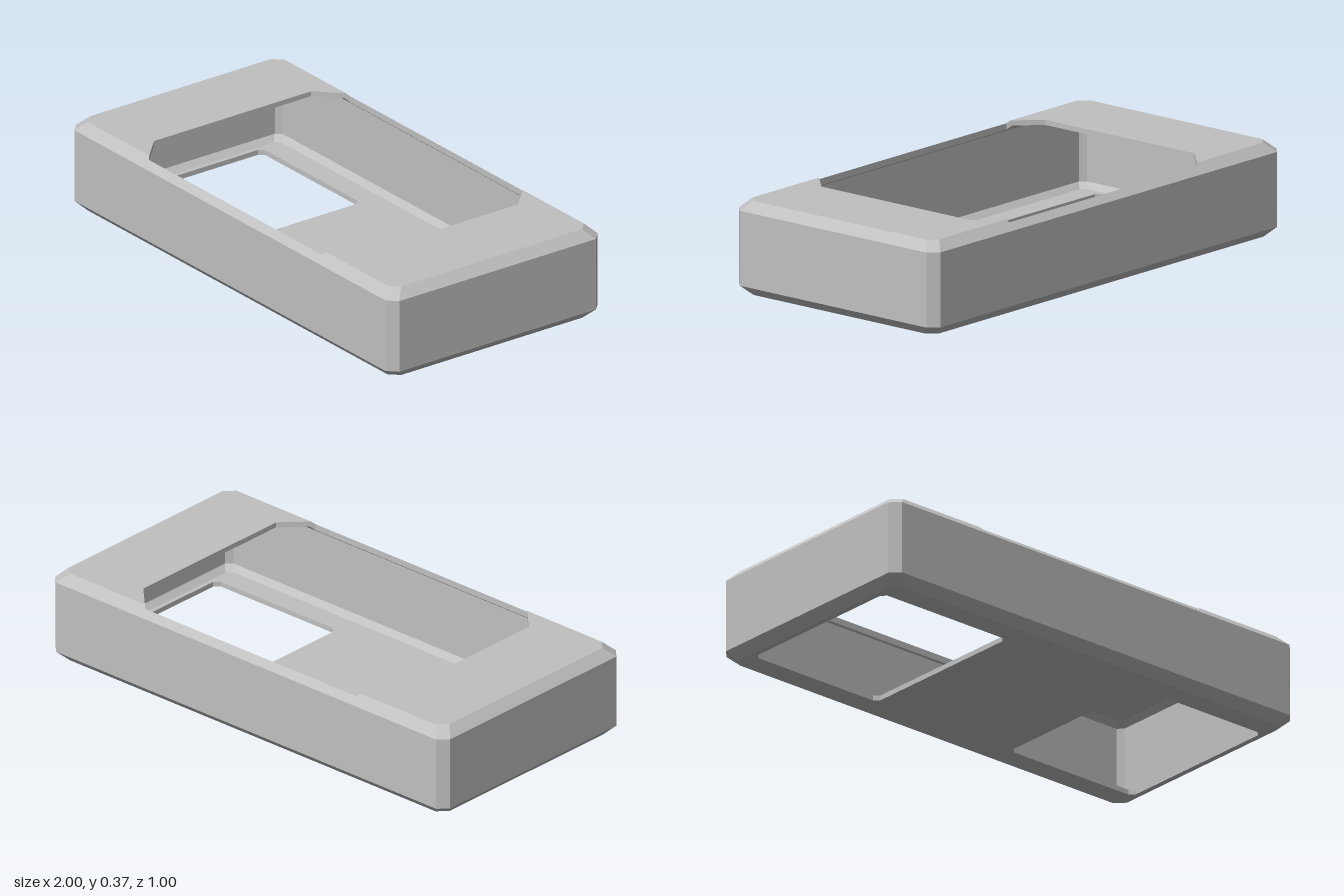
import * as THREE from 'three';
import { mergeGeometries } from 'three/addons/utils/BufferGeometryUtils.js';

// Opening in the lid: half sizes and corner cut
const OPEN_X = 0.64, OPEN_Z = 0.474, OPEN_CUT = 0.104;
const OPEN_IN = OPEN_Z - OPEN_CUT;

// Flat sheet outlined in plan (x, z), lifted by a height rule
function plate(points, height, up, holes = []) {
  const toV = (p) => p.map(([x, z]) => new THREE.Vector2(x, z));
  const shape = new THREE.Shape(toV(points));
  holes.forEach((h) => shape.holes.push(new THREE.Path(toV(h))));
  let g = new THREE.ShapeGeometry(shape);
  const pos = g.attributes.position;
  for (let i = 0; i < pos.count; i++) {
    const x = pos.getX(i), z = pos.getY(i);
    pos.setXYZ(i, x, height(x, z), z);
  }
  if (up) g.setIndex(Array.from(g.index.array).reverse());
  g = g.toNonIndexed();
  g.deleteAttribute('uv');
  g.computeVertexNormals();
  return g;
}

// Four-sided strips between two loops of 3D points
function band(lower, upper, flip, keep = () => true) {
  const out = [];
  const n = lower.length;
  for (let i = 0; i < n; i++) {
    if (!keep(i)) continue;
    const j = (i + 1) % n;
    const tri = [lower[i], upper[i], upper[j], lower[i], upper[j], lower[j]];
    if (flip) tri.reverse();
    out.push(...tri.flat());
  }
  const g = new THREE.BufferGeometry();
  g.setAttribute('position', new THREE.Float32BufferAttribute(out, 3));
  g.computeVertexNormals();
  return g;
}

// Rectangle with cut corners; edges 0 and 4 lie along +z and -z
function octagon(hx, hz, c, cx = 0) {
  return [[-hx + c, hz], [hx - c, hz], [hx, hz - c], [hx, -hz + c],
    [hx - c, -hz], [-hx + c, -hz], [-hx, -hz + c], [-hx, hz - c]].map(([x, z]) => [x + cx, z]);
}
const at = (pts, y) => pts.map(([x, z]) => [x, y, z]);

// One chamfered skin, used for the outside and again for the cavity
function skin({ hx, hz, y0, y1, c }, inside, holes) {
  const wide = octagon(hx, hz, c), narrow = octagon(hx - c, hz - c, c);
  const top = (x, z) => y1 - Math.max(0, Math.abs(z) - (hz - c));
  const walls = [
    band(at(narrow, y0), at(wide, y0 + c), !inside),
    band(at(wide, y0 + c), at(wide, y1 - c), !inside),
    band(at(wide, y1 - c), at(narrow, y1), !inside, (i) => i !== 0 && i !== 4),
  ];
  const floor = plate(narrow, () => y0, inside, holes);
  const tx = hx - c, tz = hz - c;
  const bx = OPEN_X - (tz - OPEN_IN), ox = OPEN_X - OPEN_CUT;
  const lid = [];
  for (const s of [-1, 1]) {
    // end panel beside the opening
    lid.push(plate([[OPEN_X, OPEN_IN], [bx, tz], [tx - c, tz], [tx, tz - c],
      [tx, -tz + c], [tx - c, -tz], [bx, -tz], [OPEN_X, -OPEN_IN]]
      .map(([x, z]) => [s * x, z]), top, !inside));
    // long chamfer, notched by the opening
    lid.push(plate([[-tx, hz], [tx, hz], [tx - c, tz], [bx, tz], [ox, OPEN_Z],
      [-ox, OPEN_Z], [-bx, tz], [-tx + c, tz]]
      .map(([x, z]) => [x, s * z]), top, !inside));
  }
  return { walls, floor, lid, top, breakZ: tz };
}

export function createModel() {
  const group = new THREE.Group();
  const grey = new THREE.MeshStandardMaterial({ color: 0xc0c0c0, side: THREE.DoubleSide });
  grey.name = 'light grey';
  const add = (name, parts) => {
    const mesh = new THREE.Mesh(mergeGeometries(parts), grey);
    mesh.name = name;
    group.add(mesh);
  };

  // Two windows in the floor
  const windows = [-1, 1].map((s) => octagon(0.305, 0.368, 0.02, s * 0.635));

  const outer = skin({ hx: 1, hz: 0.5, y0: 0, y1: 0.365, c: 0.037 }, false, windows);
  const inner = skin({ hx: 0.98, hz: 0.48, y0: 0.02, y1: 0.345, c: 0.022 }, true, windows);
  add('outerWalls', outer.walls);
  add('outerBase', [outer.floor]);
  add('outerLid', outer.lid);
  add('cavityWalls', inner.walls);
  add('cavityFloor', [inner.floor]);
  add('cavityCeiling', inner.lid);

  // Edges of the floor windows
  add('windowEdges', windows.map((w) => band(at(w, 0), at(w, 0.02), false)));

  // Edge of the lid opening, following the chamfers of both skins
  const corner = [OPEN_Z, outer.breakZ, inner.breakZ, OPEN_IN]
    .map((z) => [OPEN_X - (z - OPEN_IN), z]);
  const back = [...corner].reverse();
  const loop = [...corner, ...back.map(([x, z]) => [x, -z]),
    ...corner.map(([x, z]) => [-x, -z]), ...back.map(([x, z]) => [-x, z])];
  const lift = (f) => loop.map(([x, z]) => [x, f(x, z), z]);
  add('openingEdge', [band(lift(inner.top), lift(outer.top), false)]);

  return group;
}
